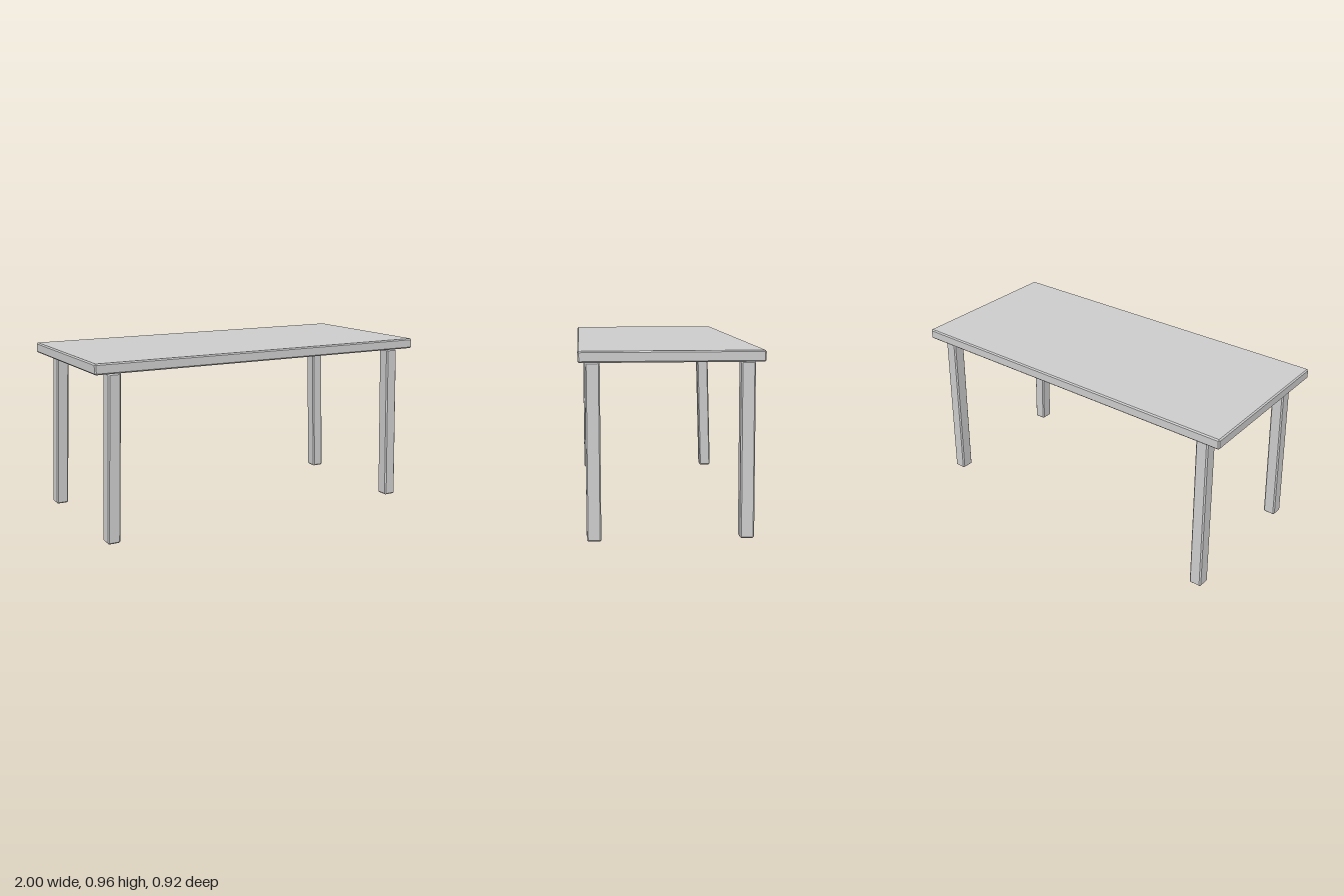
import * as THREE from 'three';
import { ConvexGeometry } from 'three/addons/geometries/ConvexGeometry.js';

const material = new THREE.MeshStandardMaterial({ color: 0xcccccc });

// Box with every edge chamfered; the foot end is shifted by leanX / leanZ.
function chamferedBox(w, h, d, bevel, leanX = 0, leanZ = 0) {
  const points = [];
  for (const sx of [-1, 1]) for (const sy of [-1, 1]) for (const sz of [-1, 1]) {
    for (let axis = 0; axis < 3; axis++) {
      const inset = [bevel, bevel, bevel];
      inset[axis] = 0;
      const y = sy * (h / 2 - inset[1]);
      const t = 0.5 - y / h; // 0 at the top, 1 at the foot
      points.push(new THREE.Vector3(
        sx * (w / 2 - inset[0]) + leanX * t, y, sz * (d / 2 - inset[2]) + leanZ * t));
    }
  }
  return new ConvexGeometry(points);
}

export function createModel() {
  const table = new THREE.Group();
  table.name = 'table';

  const add = (name, geometry, x, y, z) => {
    const mesh = new THREE.Mesh(geometry, material);
    mesh.name = name;
    mesh.position.set(x, y, z);
    table.add(mesh);
  };

  // Table top
  add('tableTop', chamferedBox(2, 0.057, 0.916, 0.007), 0, 0.929, 0);

  // Legs splay outward along x; the back right one also leans backward
  const legHeight = 0.896;
  for (const sx of [-1, 1]) for (const sz of [-1, 1]) {
    const name = (sz > 0 ? 'front' : 'back') + (sx > 0 ? 'Left' : 'Right') + 'Leg';
    const leanZ = sx < 0 && sz < 0 ? -0.03 : 0;
    add(name, chamferedBox(0.07, legHeight, 0.073, 0.007, sx * 0.027, leanZ),
      sx * 0.88, legHeight / 2, sz * 0.386);
  }
  return table;
}
